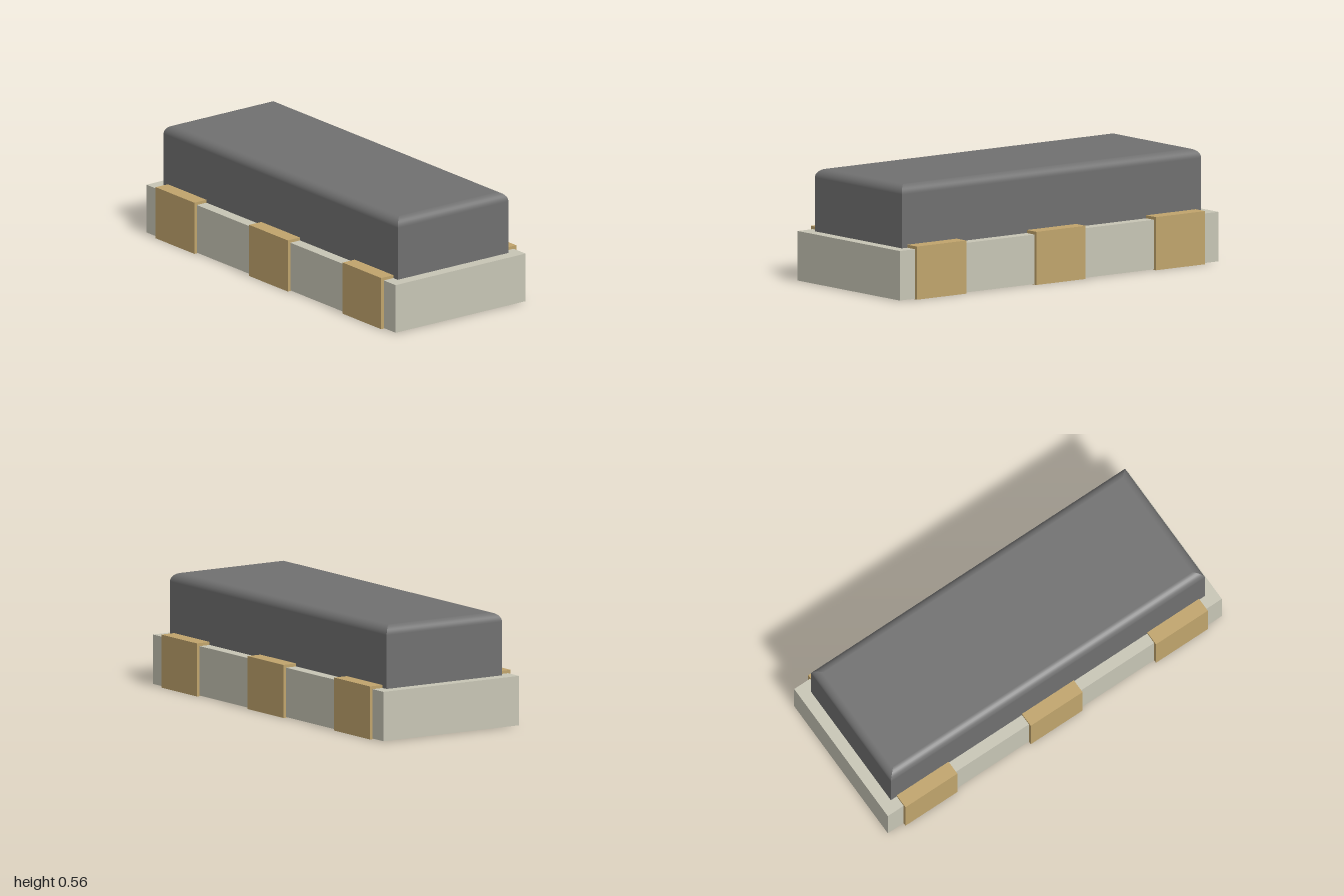
import * as THREE from 'three';

const paint = (color) => new THREE.MeshStandardMaterial({ color });

function box(name, material, w, h, d, x, y, z) {
  const mesh = new THREE.Mesh(new THREE.BoxGeometry(w, h, d), material);
  mesh.name = name;
  mesh.position.set(x, y + h / 2, z);
  return mesh;
}

// Block with sharp upright edges and rounded, mitred top edges
function roundedTopBlock(hx, hz, y0, y1, r, steps = 8) {
  const pos = [], nor = [], idx = [];
  // rows of the side profile: inset, height, outward and upward normal
  const rows = [[0, y0, 1, 0]];
  for (let i = 0; i <= steps; i++) {
    const a = (i / steps) * Math.PI / 2;
    rows.push([r * (1 - Math.cos(a)), y1 - r + r * Math.sin(a), Math.cos(a), Math.sin(a)]);
  }
  for (let side = 0; side < 4; side++) {
    const turn = side * Math.PI / 2, c = Math.round(Math.cos(turn)), s = Math.round(Math.sin(turn));
    const [along, out] = side % 2 ? [hz, hx] : [hx, hz];
    const start = pos.length / 3;
    for (const [inset, y, n, up] of rows) {
      for (const e of [-1, 1]) {
        const u = e * (along - inset), v = out - inset;
        pos.push(u * c + v * s, y, -u * s + v * c);
        nor.push(n * s, up, n * c);
      }
    }
    for (let i = 0; i < rows.length - 1; i++) {
      const k = start + i * 2;
      idx.push(k, k + 1, k + 3, k, k + 3, k + 2);
    }
  }
  // flat top and underside
  for (const [y, inset, n] of [[y1, r, 1], [y0, 0, -1]]) {
    const k = pos.length / 3, x = hx - inset, z = hz - inset;
    pos.push(-x, y, z, x, y, z, x, y, -z, -x, y, -z);
    for (let i = 0; i < 4; i++) nor.push(0, n, 0);
    if (n > 0) idx.push(k, k + 1, k + 2, k, k + 2, k + 3);
    else idx.push(k, k + 2, k + 1, k, k + 3, k + 2);
  }
  const g = new THREE.BufferGeometry();
  g.setAttribute('position', new THREE.Float32BufferAttribute(pos, 3));
  g.setAttribute('normal', new THREE.Float32BufferAttribute(nor, 3));
  g.setIndex(idx);
  return g;
}

export function createModel() {
  const model = new THREE.Group();
  model.name = 'surfaceMountComponent';
  const cream = paint(0xc7c5b5), gold = paint(0xc0a46c), dark = paint(0x707070);

  // Substrate and moulded cover
  model.add(box('base', cream, 2, 0.247, 0.81, 0, 0.003, 0));
  const cover = new THREE.Mesh(roundedTopBlock(0.94, 0.345, 0.25, 0.563, 0.045), dark);
  cover.name = 'cover';
  model.add(cover);

  // Three pairs of edge contacts, each joined by a strip on the underside
  for (const x of [-0.75, 0, 0.75]) {
    for (const side of [-1, 1]) {
      model.add(box('contact', gold, 0.31, 0.265, 0.1, x, 0, side * 0.371));
    }
    model.add(box('undersideStrip', dark, 0.31, 0.01, 0.642, x, 0, 0));
  }
  return model;
}
